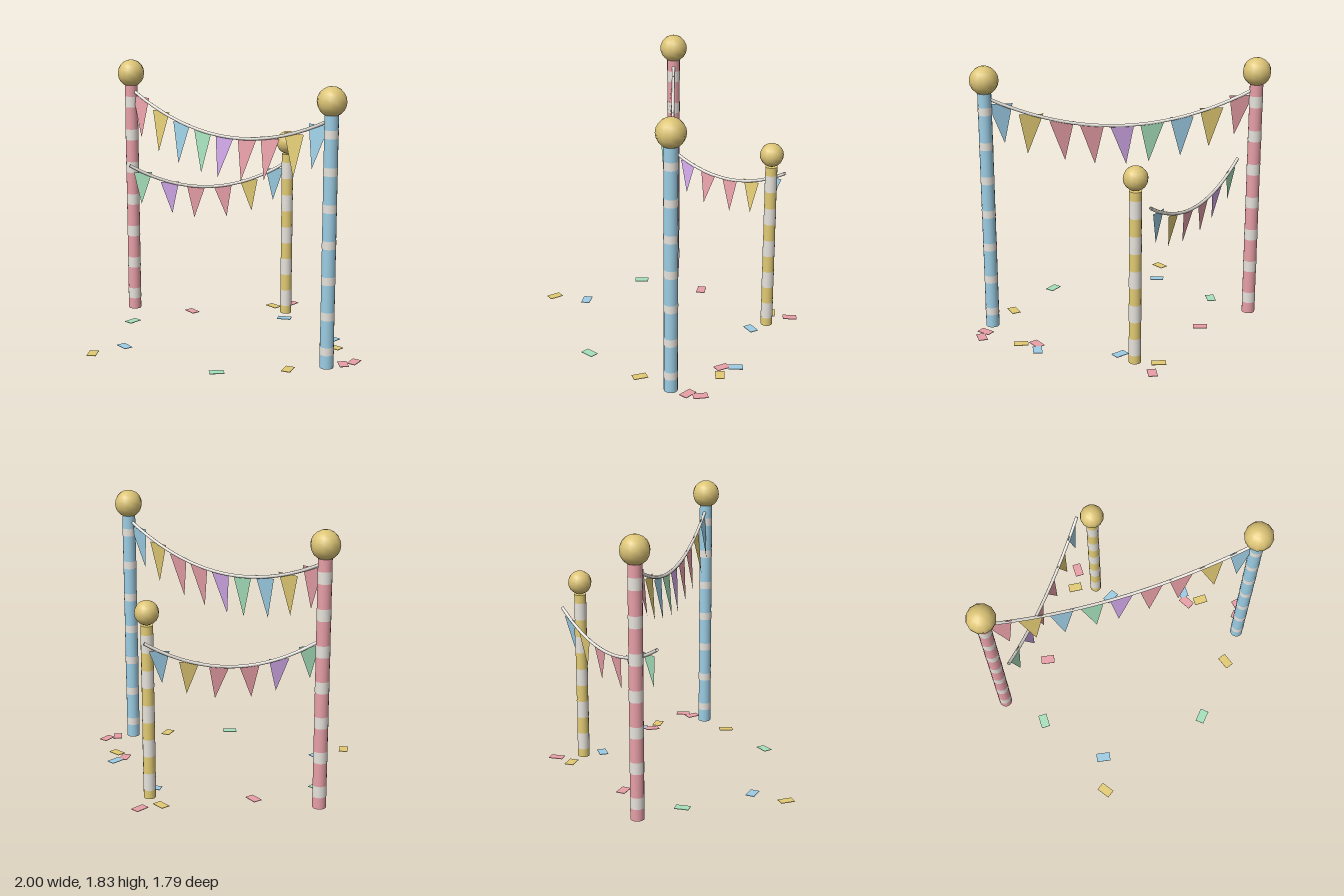
import * as THREE from 'three';

const mat = (name, color) => {
  const m = new THREE.MeshStandardMaterial({ color, side: THREE.DoubleSide });
  m.name = name;
  return m;
};

export function createModel() {
  const model = new THREE.Group();
  model.name = 'buntingDisplay';
  const M = {
    pink: mat('pink', 0xe8a0a8),
    yellow: mat('yellow', 0xe2cb74),
    blue: mat('blue', 0x9ccde4),
    green: mat('green', 0xa6e0bb),
    purple: mat('purple', 0xd0a8e8),
    cream: mat('cream', 0xeee9e2),
    gold: mat('gold', 0xdcc476),
  };

  const add = (parent, name, geometry, material, x = 0, y = 0, z = 0) => {
    const mesh = new THREE.Mesh(geometry, material);
    mesh.name = name;
    mesh.position.set(x, y, z);
    parent.add(mesh);
    return mesh;
  };

  // Striped poles with a ball on top
  const PITCH = 0.236;
  function pole(name, x, z, radius, bands, bandHeight, color, ballRadius, ballY) {
    const g = new THREE.Group();
    g.name = name;
    g.position.set(x, 0, z);
    const height = bands * PITCH;
    add(g, 'shaft', new THREE.CylinderGeometry(radius, radius, height, 16), color, 0, height / 2, 0);
    for (let i = 0; i < bands; i++) {
      const band = new THREE.CylinderGeometry(radius + 0.001, radius + 0.001, bandHeight, 16, 1, true);
      add(g, 'stripe', band, M.cream, 0, (i + 0.5) * PITCH, 0);
    }
    add(g, 'ball', new THREE.SphereGeometry(ballRadius, 12, 10), M.gold, 0, ballY, 0);
    model.add(g);
  }
  pole('rightPole', -0.91, -0.02, 0.045, 7, 0.077, M.pink, 0.095, 1.735);
  pole('leftPole', 0.88, -0.02, 0.045, 7, 0.053, M.blue, 0.095, 1.735);
  pole('backPole', -0.015, -0.68, 0.04, 5, 0.118, M.yellow, 0.08, 1.262);

  // Sagging rope with triangular flags, each leaning a little off the rope
  // flags: [colour, sideways shift of the tip]
  function garland(name, start, end, sag, width, drop, lean, flags) {
    const g = new THREE.Group();
    g.name = name;
    const along = end.clone().sub(start).normalize();
    const out = new THREE.Vector3(-along.z, 0, along.x);
    const at = (t) => {
      const p = start.clone().lerp(end, t);
      p.y -= sag * (1 - (2 * t - 1) ** 2);
      return p;
    };
    const points = Array.from({ length: 17 }, (_, i) => at(i / 16));
    add(g, 'rope', new THREE.TubeGeometry(new THREE.CatmullRomCurve3(points), 32, 0.011, 8), M.cream);
    flags.forEach(([color, shift], i) => {
      const top = at((i + 0.5) / flags.length);
      const a = top.clone().addScaledVector(along, -width / 2);
      const b = top.clone().addScaledVector(along, width / 2);
      const tip = top.clone().addScaledVector(along, shift).addScaledVector(out, lean);
      tip.y -= drop;
      const geo = new THREE.BufferGeometry().setFromPoints([a, tip, b]);
      geo.computeVertexNormals();
      add(g, 'flag', geo, M[color]);
    });
    model.add(g);
  }
  garland('frontGarland', new THREE.Vector3(-0.91, 1.624, -0.02), new THREE.Vector3(0.88, 1.624, -0.02),
    0.226, 0.16, 0.28, 0.035, [
      ['pink', 0.035], ['yellow', 0.007], ['blue', 0], ['green', 0.016], ['purple', -0.032],
      ['pink', -0.021], ['pink', -0.021], ['yellow', 0.026], ['blue', -0.024],
    ]);
  garland('sideGarland', new THREE.Vector3(-0.824, 1.098, 0.09), new THREE.Vector3(-0.095, 1.098, -0.78),
    0.17, 0.13, 0.222, 0.029, [
      ['green', -0.016], ['purple', 0.014], ['pink', -0.018],
      ['pink', 0.026], ['yellow', 0.017], ['blue', -0.017],
    ]);

  // Confetti on the ground: colour, x, z, turn in degrees
  const confetti = new THREE.Group();
  confetti.name = 'confetti';
  const paper = new THREE.BoxGeometry(0.096, 0.004, 0.06);
  [
    ['pink', -0.104, -0.85, 90], ['yellow', -0.165, -0.72, -5], ['blue', 0.067, -0.567, 30],
    ['blue', 0.6, -0.443, 90], ['pink', 0.6, -0.353, -60], ['yellow', 0.703, -0.337, 0],
    ['pink', 0.96, -0.208, -80], ['pink', 0.933, -0.128, -42], ['pink', -0.527, -0.23, -10],
    ['yellow', 0.725, 0.182, -70], ['green', -0.687, 0.214, 90], ['green', 0.422, 0.53, 48],
    ['blue', -0.356, 0.604, -10], ['yellow', -0.414, 0.84, -55],
  ].forEach(([color, x, z, turn]) => {
    add(confetti, 'paper', paper, M[color], x, 0.003, z).rotation.y = THREE.MathUtils.degToRad(turn);
  });
  model.add(confetti);

  return model;
}
